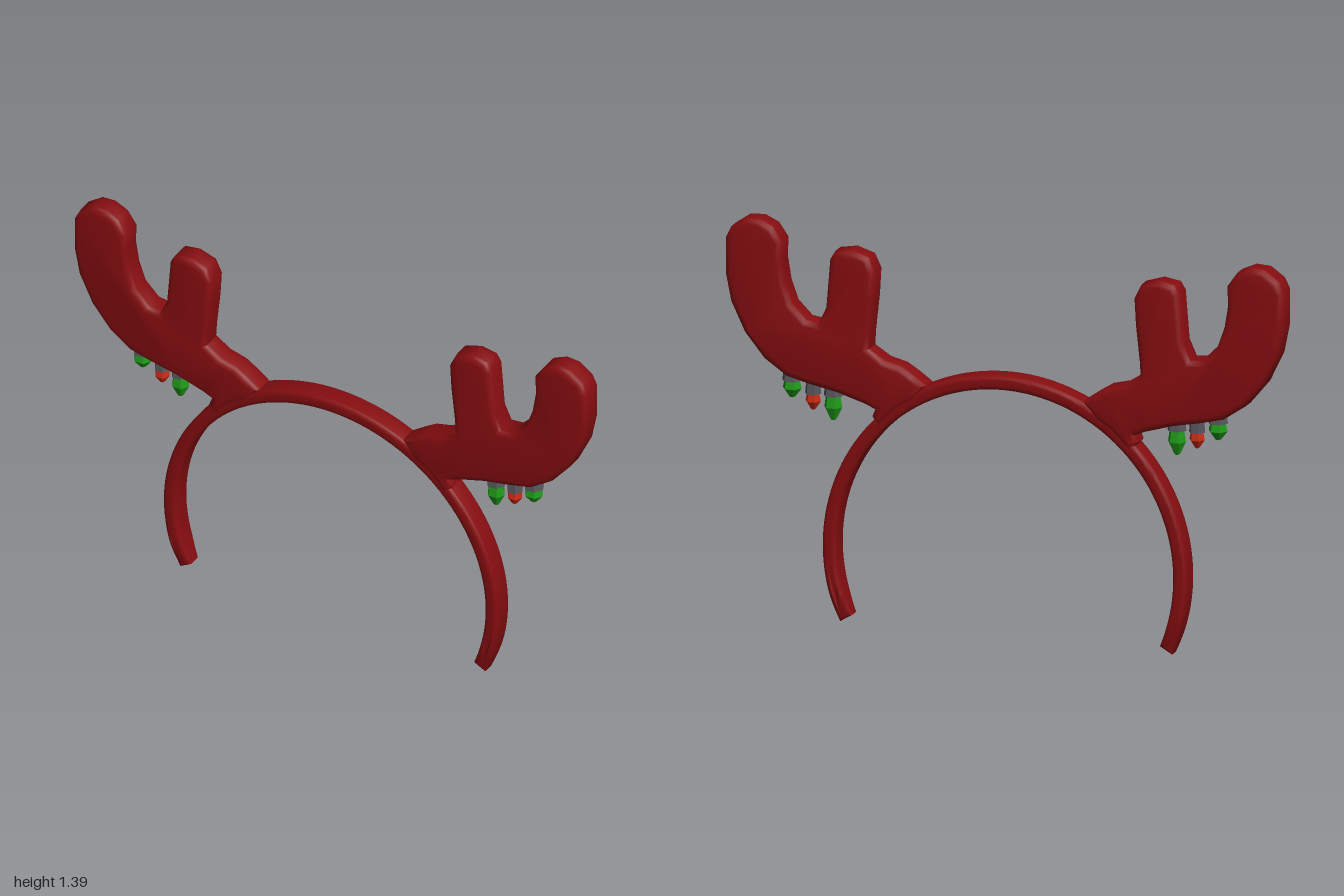
import * as THREE from 'three';
import { toCreasedNormals } from 'three/addons/utils/BufferGeometryUtils.js';

const material = (name, color) => {
  const m = new THREE.MeshStandardMaterial({ color });
  m.name = name;
  return m;
};

// Rounded slab centred on z = 0, total thickness 2 * half
function slab(shape, half, bevel, curveSegments) {
  const depth = 2 * (half - bevel);
  const geo = new THREE.ExtrudeGeometry(shape, {
    depth, curveSegments, bevelSize: bevel, bevelOffset: -bevel,
    bevelThickness: bevel, bevelSegments: 3,
  });
  geo.translate(0, 0, -depth / 2);
  return geo;
}

export function createModel() {
  const group = new THREE.Group();
  const maroon = material('maroon felt', 0x860d10);
  const green = material('green glass', 0x1f9a18);
  const red = material('red glass', 0xcc2a14);
  const grey = material('grey cap', 0x55555c);

  const add = (parent, name, geo, mat) => {
    const mesh = new THREE.Mesh(geo, mat);
    mesh.name = name;
    parent.add(mesh);
    return mesh;
  };

  // Head band: open ring, narrowing in depth at both ends
  const a = 0.425;
  const ring = new THREE.Shape();
  ring.absarc(0, 0.27, 0.652, -a, Math.PI + a, false);
  ring.absarc(0, 0.27, 0.602, Math.PI + a - 0.01, -a + 0.01, true);
  ring.closePath();
  const bandGeo = slab(ring, 0.042, 0.014, 56);
  const p = bandGeo.attributes.position;
  for (let i = 0; i < p.count; i++) {
    const t = THREE.MathUtils.smoothstep(p.getY(i), -0.02, 0.12);
    p.setZ(i, p.getZ(i) * (0.6 + 0.4 * t));
  }
  add(group, 'headBand', toCreasedNormals(bandGeo, 0.7), maroon);

  // Antler outline: upper edge, inner tine, outer tine, underside, band side
  const outline = [
    [0.28, 0.86], [0.33, 0.895], [0.37, 0.92], [0.43, 0.935], [0.485, 0.97],
    [0.482, 1.02], [0.468, 1.15], [0.463, 1.24], [0.487, 1.29], [0.55, 1.31],
    [0.608, 1.3], [0.626, 1.27], [0.64, 1.1], [0.665, 1.045], [0.71, 1.05],
    [0.76, 1.1], [0.785, 1.17], [0.798, 1.25], [0.795, 1.315], [0.83, 1.365],
    [0.88, 1.388], [0.93, 1.385], [0.98, 1.35], [1, 1.31], [1, 1.19],
    [0.98, 1.09], [0.93, 0.985], [0.86, 0.9], [0.78, 0.845], [0.7, 0.825],
    [0.6, 0.805], [0.5, 0.775], [0.465, 0.76], [0.475, 0.735], [0.45, 0.7],
    [0.42, 0.73], [0.38, 0.77], [0.33, 0.8],
  ];

  // Hanging lights: x, cap top, cap bottom, tip, width scale, glass
  const lights = [
    [0.625, 0.84, 0.785, 0.697, 1, green, 'greenLight'],
    [0.697, 0.85, 0.785, 0.727, 0.85, red, 'redLight'],
    [0.772, 0.87, 0.825, 0.763, 1.05, green, 'greenLight'],
  ];

  for (const side of [1, -1]) {
    const name = side > 0 ? 'left' : 'right';
    const shape = new THREE.Shape(outline.map(([x, y]) => new THREE.Vector2(side * x, y)));
    add(group, name + 'Antler', toCreasedNormals(slab(shape, 0.047, 0.022, 4), 0.9), maroon);

    for (const [x, top, neck, tip, s, glass, label] of lights) {
      const light = new THREE.Group();
      light.name = name + label[0].toUpperCase() + label.slice(1);
      light.position.x = side > 0 ? x : -(x - 0.02);
      const lathe = (pts) => toCreasedNormals(
        new THREE.LatheGeometry(pts.map(([r, y]) => new THREE.Vector2(r * s, y)), 6, Math.PI / 6), 0.4);
      const h = neck - tip;
      add(light, 'cap', lathe([[0, neck], [0.034, neck], [0.027, top], [0, top]]), grey);
      add(light, 'bulb', lathe([
        [0, tip], [0.01, tip + 0.004], [0.032, neck - h * 0.45], [0.026, neck + 0.001], [0, neck + 0.001],
      ]), glass);
      group.add(light);
    }
  }
  return group;
}
